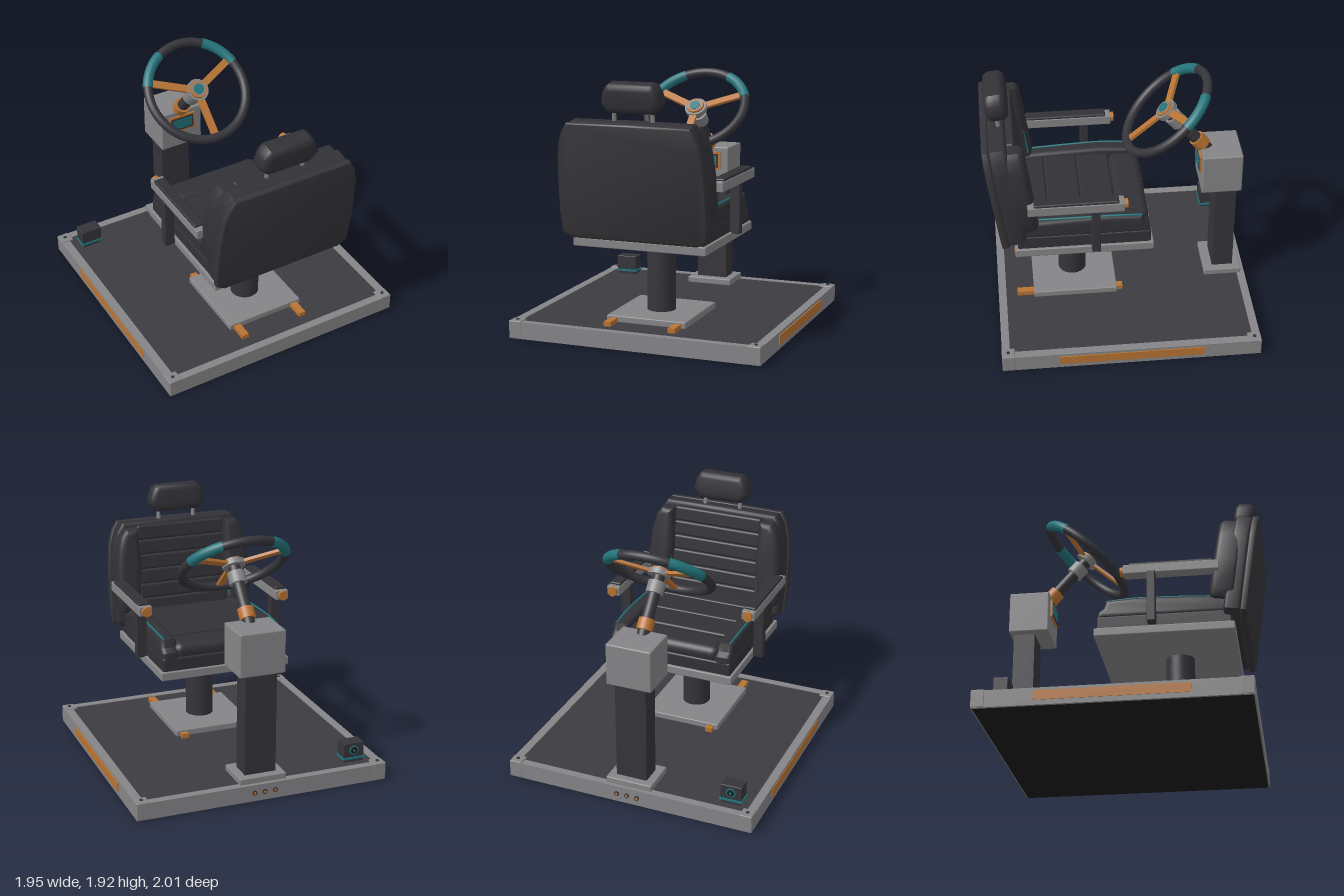
import * as THREE from 'three';
import { toCreasedNormals } from 'three/addons/utils/BufferGeometryUtils.js';
import { RoundedBoxGeometry } from 'three/addons/geometries/RoundedBoxGeometry.js';

const mat = (name, color) => {
  const m = new THREE.MeshStandardMaterial({ color });
  m.name = name;
  return m;
};

export function createModel() {
  const model = new THREE.Group();
  model.name = 'drivingSimulator';
  const grey = mat('brushed grey', 0x858587);
  const dark = mat('charcoal steel', 0x35343a);
  const leather = mat('black upholstery', 0x323136);
  const shellMat = mat('seat shell', 0x353438);
  const floor = mat('floor mat', 0x3c3b40);
  const copper = mat('copper', 0xb87333);
  const teal = mat('teal', 0x22747a);
  const black = mat('black underside', 0x1c1c1e);

  const add = (name, geo, m, parent = model, pos = [0, 0, 0]) => {
    const mesh = new THREE.Mesh(geo, m);
    mesh.name = name;
    mesh.position.set(...pos);
    parent.add(mesh);
    return mesh;
  };
  // box from its limits, optionally rounded
  const box = (name, m, x0, x1, y0, y1, z0, z1, r = 0, parent = model) => {
    const s = [x1 - x0, y1 - y0, z1 - z0];
    const geo = r ? new RoundedBoxGeometry(...s, 3, r) : new THREE.BoxGeometry(...s);
    return add(name, geo, m, parent, [(x0 + x1) / 2, (y0 + y1) / 2, (z0 + z1) / 2]);
  };
  const cyl = (name, m, r0, r1, h, pos, parent = model, seg = 32) =>
    add(name, new THREE.CylinderGeometry(r0, r1, h, seg), m, parent, pos);
  // bevelled slab that keeps its outline; spans z0..z1
  const slab = (pts, z0, z1, bevel) => {
    const shape = new THREE.Shape(pts.map(p => new THREE.Vector2(...p)));
    const geo = new THREE.ExtrudeGeometry(shape, {
      depth: z1 - z0 - 2 * bevel, bevelSize: bevel, bevelThickness: bevel,
      bevelOffset: -bevel, bevelSegments: 4,
    });
    geo.translate(0, 0, z0 + bevel);
    return toCreasedNormals(geo, 0.6);
  };
  const mirrored = half => [...half, ...half.map(([x, y]) => [-x, y]).reverse()];
  const tube = (pts, r) => new THREE.TubeGeometry(
    new THREE.CatmullRomCurve3(pts.map(p => new THREE.Vector3(...p))), 32, r, 8);

  // Platform
  const X0 = -0.97, X1 = 0.967, Z0 = -0.99, Z1 = 0.945;
  box('underside', black, X0 + 0.01, X1 - 0.01, 0, 0.02, Z0 + 0.01, Z1 - 0.01);
  box('floorMat', floor, X0 + 0.05, X1 - 0.05, 0.02, 0.125, Z0 + 0.05, Z1 - 0.05);
  box('frameLeft', grey, X1 - 0.065, X1, 0.004, 0.13, Z0, Z1);
  box('frameRight', grey, X0, X0 + 0.065, 0.004, 0.13, Z0, Z1);
  box('frameFront', grey, X0 + 0.065, X1 - 0.065, 0.004, 0.13, Z1 - 0.06, Z1);
  box('frameBack', grey, X0 + 0.065, X1 - 0.065, 0.004, 0.13, Z0, Z0 + 0.06);
  for (const x of [X0 + 0.047, X1 - 0.047]) {
    for (const z of [Z0 + 0.047, Z1 - 0.047]) {
      box('cornerBlock', grey, x - 0.049, x + 0.049, 0.006, 0.138, z - 0.049, z + 0.049, 0.008);
      cyl('cornerBolt', dark, 0.013, 0.013, 0.008, [x, 0.14, z], model, 12);
    }
  }
  box('sideStripLeft', copper, X1, X1 + 0.008, 0.04, 0.11, -0.56, 0.52);
  box('sideStripRight', copper, X0 - 0.004, X0, 0.04, 0.11, -0.56, 0.52);
  for (const x of [-0.08, 0, 0.08]) {
    cyl('cableSocket', dark, 0.018, 0.018, 0.014, [x, 0.07, Z0 - 0.003], model, 16).rotation.x = Math.PI / 2;
    cyl('socketPin', copper, 0.011, 0.011, 0.018, [x, 0.07, Z0 - 0.003], model, 16).rotation.x = Math.PI / 2;
  }

  // Seat pedestal
  box('seatFootPlate', grey, -0.31, 0.31, 0.125, 0.175, 0.03, 0.67, 0.008);
  for (const x of [-0.25, 0.25]) box('slideRail', copper, x - 0.027, x + 0.027, 0.125, 0.16, -0.015, 0.8);
  cyl('seatPost', dark, 0.107, 0.107, 0.54, [0, 0.44, 0.355]);
  box('seatPlate', grey, -0.51, 0.51, 0.705, 0.77, -0.225, 0.8, 0.008);

  // Seat cushion
  box('seatBox', leather, -0.49, 0.49, 0.76, 0.87, -0.205, 0.78, 0.015);
  const breaks = [-0.2, 0.04, 0.29, 0.54, 0.76];
  for (let i = 0; i < 4; i++) {
    const g = box('seatPad', leather, -0.39, 0.39, 0.84, 0.97, breaks[i], breaks[i + 1], i ? 0.018 : 0.06);
    if (!i) g.rotation.x = -0.05;
  }
  const side = [[0.76, 0.85], [0.76, 0.985], [0.5, 1.0], [0.1, 1.015], [-0.14, 1.0], [-0.16, 0.94],
    [-0.2, 0.91], [-0.205, 0.85]];
  for (const s of [-1, 1]) {
    const bolster = slab(side, -0.065, 0.065, 0.035);
    bolster.rotateY(-Math.PI / 2);
    add('seatBolster', bolster, leather, model, [s * 0.425, 0, 0]);
    add('seatPiping', tube([[s * 0.45, 1.0, 0.62], [s * 0.462, 1.008, 0.3], [s * 0.465, 1.01, 0.05],
      [s * 0.46, 0.998, -0.14]], 0.008), teal);
  }

  // Reclined backrest
  const back = new THREE.Group();
  back.name = 'backrest';
  back.position.set(0, 0.8, 0.8);
  back.rotation.x = 0.138;
  model.add(back);
  const outline = mirrored([[0.0, -0.02], [0.48, -0.005], [0.55, 0.04], [0.56, 0.2], [0.555, 0.45],
    [0.54, 0.66], [0.51, 0.77], [0.465, 0.845], [0.0, 0.85]].slice(1));
  add('backShell', slab(outline, 0.035, 0.09, 0.015), shellMat, back);
  add('backPad', slab(outline.map(([x, y]) => [x * 0.98, y * 0.985 + 0.01]), -0.09, 0.045, 0.03), leather, back);
  for (let i = 0; i < 6; i++) {
    const y = 0.12 + i * 0.116;
    box('backRib', leather, -0.36, 0.36, y, y + 0.114, -0.145, -0.05, 0.018, back);
  }
  for (const s of [-1, 1]) {
    const wing = [[0.37, 0.14], [0.53, 0.14], [0.555, 0.2], [0.55, 0.45], [0.53, 0.64], [0.5, 0.75],
      [0.46, 0.8], [0.36, 0.8], [0.345, 0.5]].map(([x, y]) => [s * x, y]);
    add('backBolster', slab(wing, -0.205, 0.0, 0.05), leather, back);
    add('backPiping', tube([[s * 0.375, 0.19, -0.174], [s * 0.362, 0.48, -0.174], [s * 0.37, 0.77, -0.172]], 0.008), teal, back);
    cyl('headrestPost', grey, 0.015, 0.015, 0.2, [s * 0.145, 0.87, -0.045], back, 16);
  }
  const head = mirrored([[0.17, 0.905], [0.215, 0.95], [0.225, 0.985], [0.212, 1.05], [0.185, 1.1], [0.16, 1.118]]);
  add('headrest', slab(head, -0.14, 0.02, 0.05), leather, back);

  // Armrests
  for (const s of [-1, 1]) {
    const arm = new THREE.Group();
    arm.name = s > 0 ? 'leftArmrest' : 'rightArmrest';
    arm.position.x = s * 0.55;
    model.add(arm);
    box('armBeam', grey, -0.05, 0.052, 1.15, 1.222, 0, 0.7, 0.006, arm);
    box('armPad', leather, -0.045, 0.046, 1.21, 1.24, 0.04, 0.655, 0.012, arm);
    box('armSupport', dark, -0.06, 0.018, 0.76, 1.16, 0.175, 0.237, 0.006, arm);
    cyl('armKnob', copper, 0.036, 0.036, 0.03, [0, 1.186, -0.01], arm).rotation.x = Math.PI / 2;
  }

  // Wheel stand and control box
  box('standFootPlate', grey, -0.18, 0.18, 0.125, 0.175, -0.96, -0.67, 0.008);
  box('standPost', dark, -0.12, 0.12, 0.17, 0.94, -0.9, -0.74);
  box('controlBox', grey, -0.175, 0.175, 0.935, 1.26, -0.93, -0.625, 0.012);
  box('displayFrame', copper, -0.11, 0.11, 1.08, 1.22, -0.63, -0.612);
  box('displayBezel', dark, -0.095, 0.095, 1.095, 1.205, -0.613, -0.608);
  box('displayScreen', teal, -0.08, 0.08, 1.11, 1.19, -0.609, -0.604);

  // Steering column and wheel: local y is the column axis
  const wheel = new THREE.Group();
  wheel.name = 'steeringWheel';
  wheel.position.set(0, 1.595, -0.365);
  wheel.rotation.x = 0.715;
  model.add(wheel);
  cyl('column', dark, 0.045, 0.045, 0.53, [0, -0.265, 0], wheel);
  cyl('columnJoint', copper, 0.06, 0.06, 0.085, [0, -0.39, 0], wheel);
  cyl('columnCollar', grey, 0.065, 0.065, 0.09, [0, -0.11, 0], wheel);
  const ring = (start, arc, r) => new THREE.TorusGeometry(0.385, r, 16, 64, arc)
    .rotateZ(start).rotateX(Math.PI / 2);
  const deg = Math.PI / 180;
  add('rim', ring(0, Math.PI * 2, 0.034), dark, wheel);
  for (const a of [-62, -160]) add('rimGrip', ring(a * deg, 42 * deg, 0.0385), teal, wheel);
  for (const a of [-25, -155, 90]) {
    const spoke = new THREE.BoxGeometry(0.33, 0.022, 0.056);
    spoke.translate(0.215, 0, 0).rotateY(-a * deg);
    add('spoke', spoke, copper, wheel);
  }
  cyl('hub', grey, 0.085, 0.085, 0.04, [0, 0, 0], wheel);
  cyl('hubRing', copper, 0.065, 0.068, 0.016, [0, 0.026, 0], wheel);
  cyl('hubFace', grey, 0.052, 0.052, 0.008, [0, 0.034, 0], wheel);
  cyl('hubButton', teal, 0.04, 0.04, 0.012, [0, 0.038, 0], wheel);

  // Small sensor pod on the floor
  box('podBase', dark, -0.84, -0.69, 0.12, 0.15, -0.865, -0.765);
  box('podBand', teal, -0.853, -0.677, 0.146, 0.163, -0.873, -0.757);
  box('podBody', dark, -0.848, -0.682, 0.162, 0.275, -0.868, -0.762, 0.006);
  for (const [name, m, r, z] of [['podLensRing', teal, 0.036, -0.869], ['podLens', black, 0.026, -0.873],
    ['podLensCentre', teal, 0.01, -0.876]]) {
    cyl(name, m, r, r, 0.008, [-0.765, 0.218, z], model, 24).rotation.x = Math.PI / 2;
  }
  return model;
}
